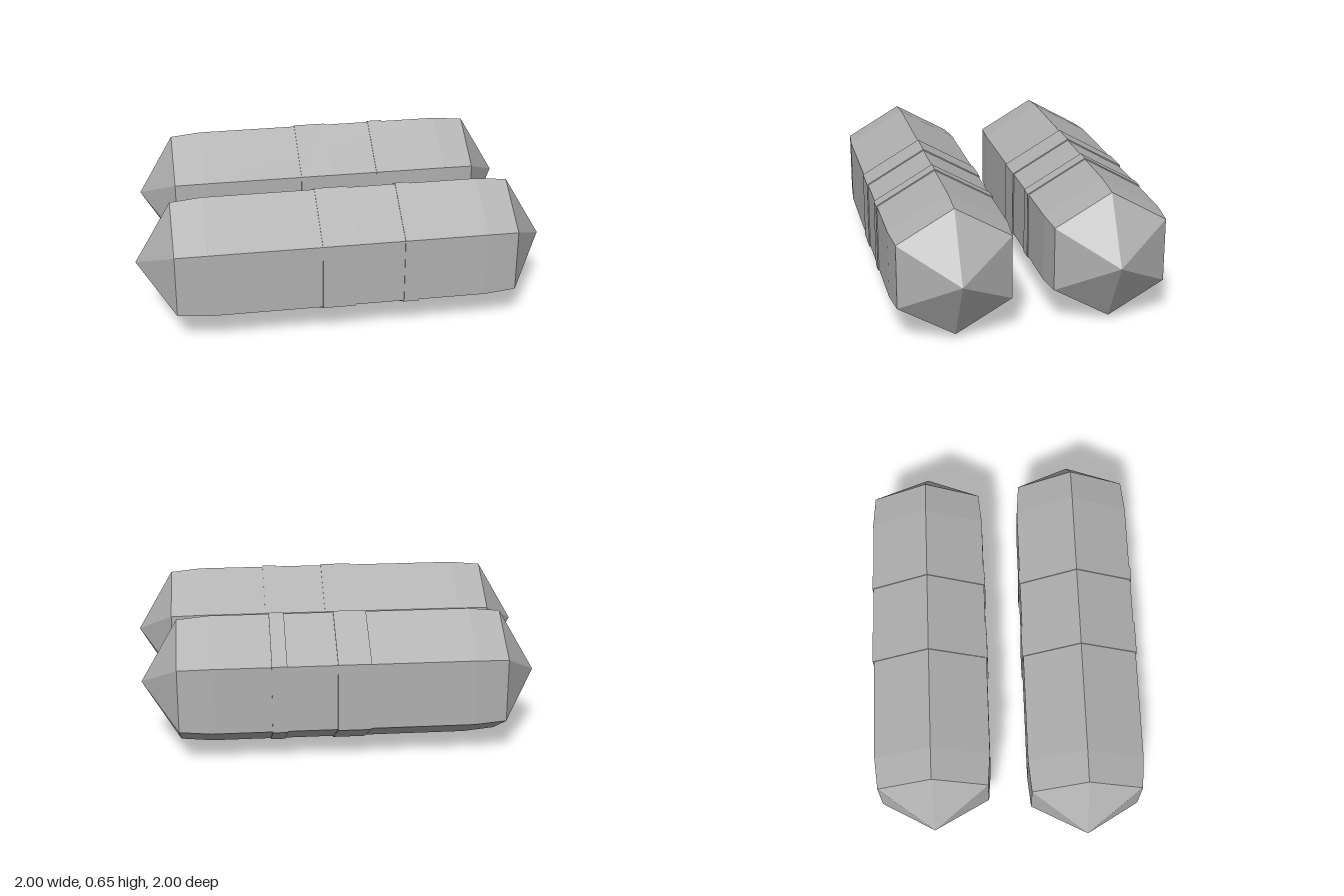
import * as THREE from 'three';

const SIDES = 6;
const BODY = 0.32, RIM = 0.305, BAND = 0.326;

// Six-sided solid turned from [distance along axis, radius] pairs, with flat faces
function hexSolid(profile) {
  const points = profile.map(([along, radius]) => new THREE.Vector2(radius, along));
  const geometry = new THREE.LatheGeometry(points, SIDES).toNonIndexed();
  geometry.computeVertexNormals();
  return geometry;
}

export function createModel() {
  const model = new THREE.Group();
  model.name = 'hexagonalRods';
  const grey = new THREE.MeshStandardMaterial({ color: 0xb0b0b0 });
  grey.name = 'grey';

  function addPart(parent, name, profile) {
    const mesh = new THREE.Mesh(hexSolid(profile), grey);
    mesh.name = name;
    parent.add(mesh);
  }

  // Rod lies along the (1, 0, -1) diagonal with a hexagon corner pointing up
  const s = Math.SQRT1_2;
  const basis = new THREE.Matrix4().makeBasis(
    new THREE.Vector3(s, 0, s), new THREE.Vector3(s, 0, -s), new THREE.Vector3(0, 1, 0));

  function addRod(name, centre, rim, tip) {
    const rod = new THREE.Group();
    rod.name = name;
    rod.quaternion.setFromRotationMatrix(basis);
    rod.position.set(centre, BAND, centre);

    // Shaft with bevelled ends
    const bevel = rim - 0.15;
    addPart(rod, 'shaft', [[-rim, RIM], [-bevel, BODY], [bevel, BODY], [rim, RIM]]);

    // Pyramid points
    addPart(rod, 'frontPoint', [[-tip, 0], [-rim, RIM]]);
    addPart(rod, 'backPoint', [[rim, RIM], [tip, 0]]);

    // Slightly raised bands
    for (const [label, a, b] of [['wideBand', -0.125, 0.03], ['narrowBand', 0.262, 0.333]]) {
      addPart(rod, label, [[a, BODY - 0.01], [a, BAND], [b, BAND], [b, BODY - 0.01]]);
    }
    model.add(rod);
  }

  addRod('backRod', -0.275, 0.764, 0.94);
  addRod('frontRod', 0.245, 0.806, 0.983);
  return model;
}
